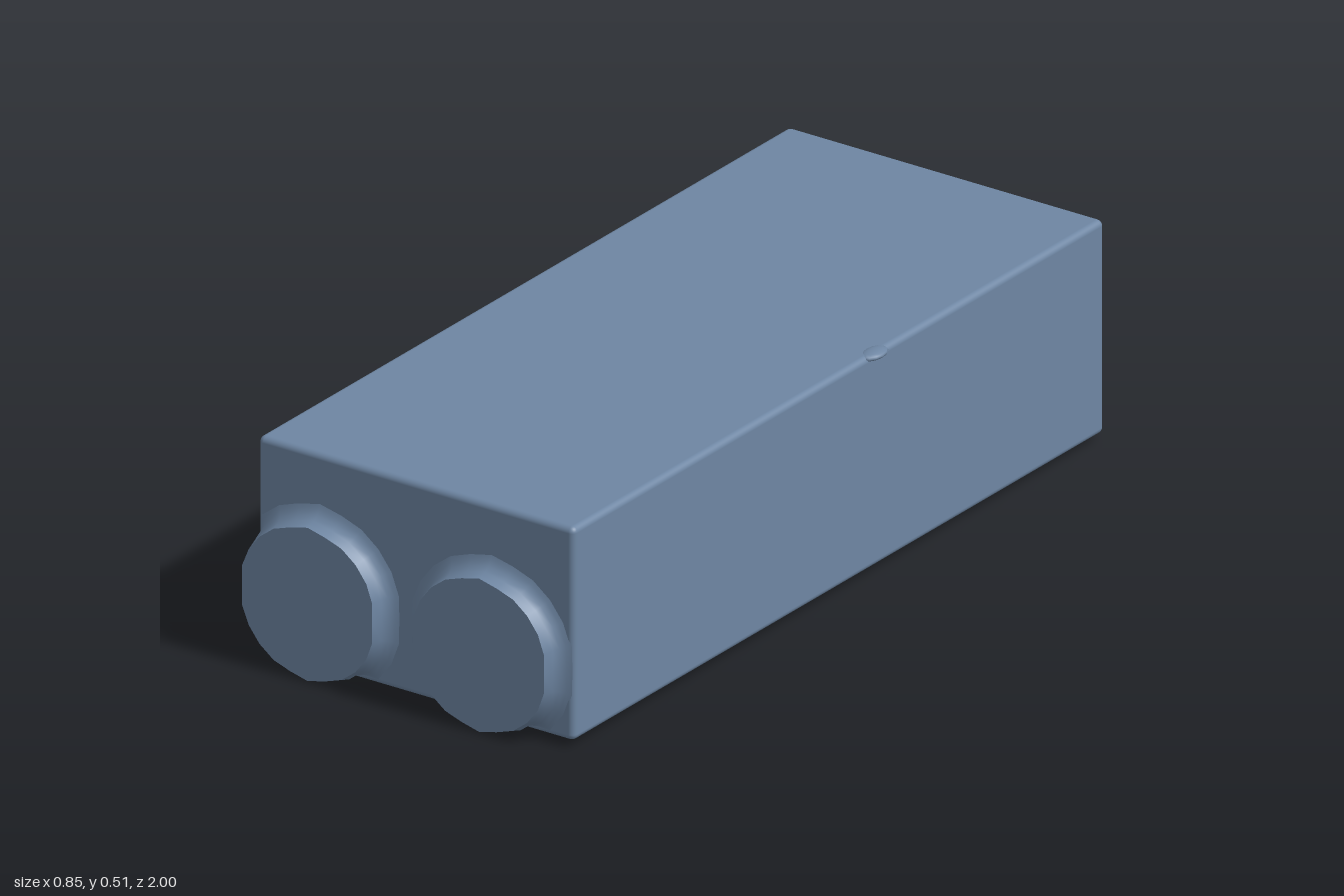
import * as THREE from 'three';
import { toCreasedNormals } from 'three/addons/utils/BufferGeometryUtils.js';
import { RoundedBoxGeometry } from 'three/addons/geometries/RoundedBoxGeometry.js';

// Skin a list of equal-length rings running toward +z, closing the last one.
function loft(rings) {
  const n = rings[0].length, positions = [], index = [];
  rings.forEach(ring => ring.forEach(p => positions.push(...p)));
  for (let i = 0; i < rings.length - 1; i++) {
    for (let j = 0; j < n; j++) {
      const a = i * n + j, b = i * n + (j + 1) % n;
      index.push(a, b, b + n, a, b + n, a + n);
    }
  }
  const last = (rings.length - 1) * n;
  for (let j = 1; j < n - 1; j++) index.push(last, last + j, last + j + 1);
  const geometry = new THREE.BufferGeometry();
  geometry.setAttribute('position', new THREE.Float32BufferAttribute(positions, 3));
  geometry.setIndex(index);
  return toCreasedNormals(geometry, 0.6);
}

// Rounded rectangle ring of size w x h at depth z.
function roundedRing(w, h, r, z) {
  const points = [];
  for (let corner = 0; corner < 4; corner++) {
    const sx = corner === 0 || corner === 3 ? 1 : -1, sy = corner < 2 ? 1 : -1;
    for (let k = 0; k <= 4; k++) {
      const a = (corner + k / 4) * Math.PI / 2;
      points.push([sx * (w / 2 - r) + r * Math.cos(a), sy * (h / 2 - r) + r * Math.sin(a), z]);
    }
  }
  return points;
}

const BODY = { left: -0.4, right: 0.41, bottom: 0.018 };

// Barrel ring: slightly squared circle with a pointed crest at top and bottom.
// The flare is held inside the outline of the body.
function barrelRing(cx, cy, flare, z) {
  const points = [], n = 24;
  for (let j = 0; j < n; j++) {
    const a = j / n * Math.PI * 2, crest = j % 12 === 6;
    const c = Math.cos(a), s = Math.sin(a);
    let x = cx + THREE.MathUtils.clamp(0.174 * c, -0.168, 0.166);
    let y = cy + (crest || j === 18 ? 0.176 * s : THREE.MathUtils.clamp(0.174 * s, -0.165, 0.165));
    const fx = x + flare * c, fy = y + flare * s;
    if (flare < 0 || (fx > BODY.left && fx < BODY.right)) x = fx;
    if (flare < 0 || fy > BODY.bottom) y = fy;
    points.push([x, y, z]);
  }
  return points;
}

export function createModel() {
  const model = new THREE.Group();
  const slate = new THREE.MeshStandardMaterial({ color: 0x6e86a3 });
  slate.name = 'slate blue';

  function add(name, geometry, x = 0, y = 0, z = 0, turn = 0) {
    const mesh = new THREE.Mesh(geometry, slate);
    mesh.name = name;
    mesh.position.set(x, y, z);
    mesh.rotation.y = turn;
    model.add(mesh);
    return mesh;
  }

  // Long housing
  add('housing', new RoundedBoxGeometry(0.81, 0.49, 1.912, 3, 0.014), 0.005, 0.263, -0.002);

  // Twin barrels, with a soft flare where they leave the front face
  const barrelSteps = [[0.2, -0.02], [0.25, 0], [0.945, 0], [0.953, 0.04],
    [0.957, 0.028], [0.965, 0.016], [0.977, 0.007], [1, 0]];
  for (const [name, cx] of [['rightBarrel', -0.24], ['leftBarrel', 0.2]]) {
    add(name, loft(barrelSteps.map(([z, flare]) => barrelRing(cx, 0.18, flare, z))));
  }

  // Raised plate on the back
  add('backPlate', loft([
    roundedRing(0.335, 0.29, 0.03, 0.954),
    roundedRing(0.30, 0.275, 0.025, 0.963),
    roundedRing(0.27, 0.255, 0.015, 0.975),
    roundedRing(0.245, 0.24, 0.006, 0.99),
    roundedRing(0.245, 0.24, 0.006, 1),
  ]), -0.017, 0.185, 0, Math.PI);

  // Long button on the right side
  add('sideButton', loft([
    roundedRing(0.53, 0.125, 0.05, -0.003),
    roundedRing(0.50, 0.10, 0.045, 0.006),
    roundedRing(0.475, 0.075, 0.035, 0.017),
    roundedRing(0.45, 0.05, 0.024, 0.025),
  ]), -0.4, 0.41, -0.12, -Math.PI / 2);

  // Small stud below the button
  add('sideStud', loft([
    roundedRing(0.08, 0.12, 0.035, -0.003),
    roundedRing(0.06, 0.09, 0.028, 0.008),
    roundedRing(0.03, 0.05, 0.014, 0.015),
  ]), -0.4, 0.085, -0.04, -Math.PI / 2);

  // Tiny nub on the left top edge
  const nub = add('edgeNub', new THREE.SphereGeometry(1, 12, 8), 0.401, 0.502, -0.14);
  nub.scale.set(0.024, 0.01, 0.04);

  return model;
}
